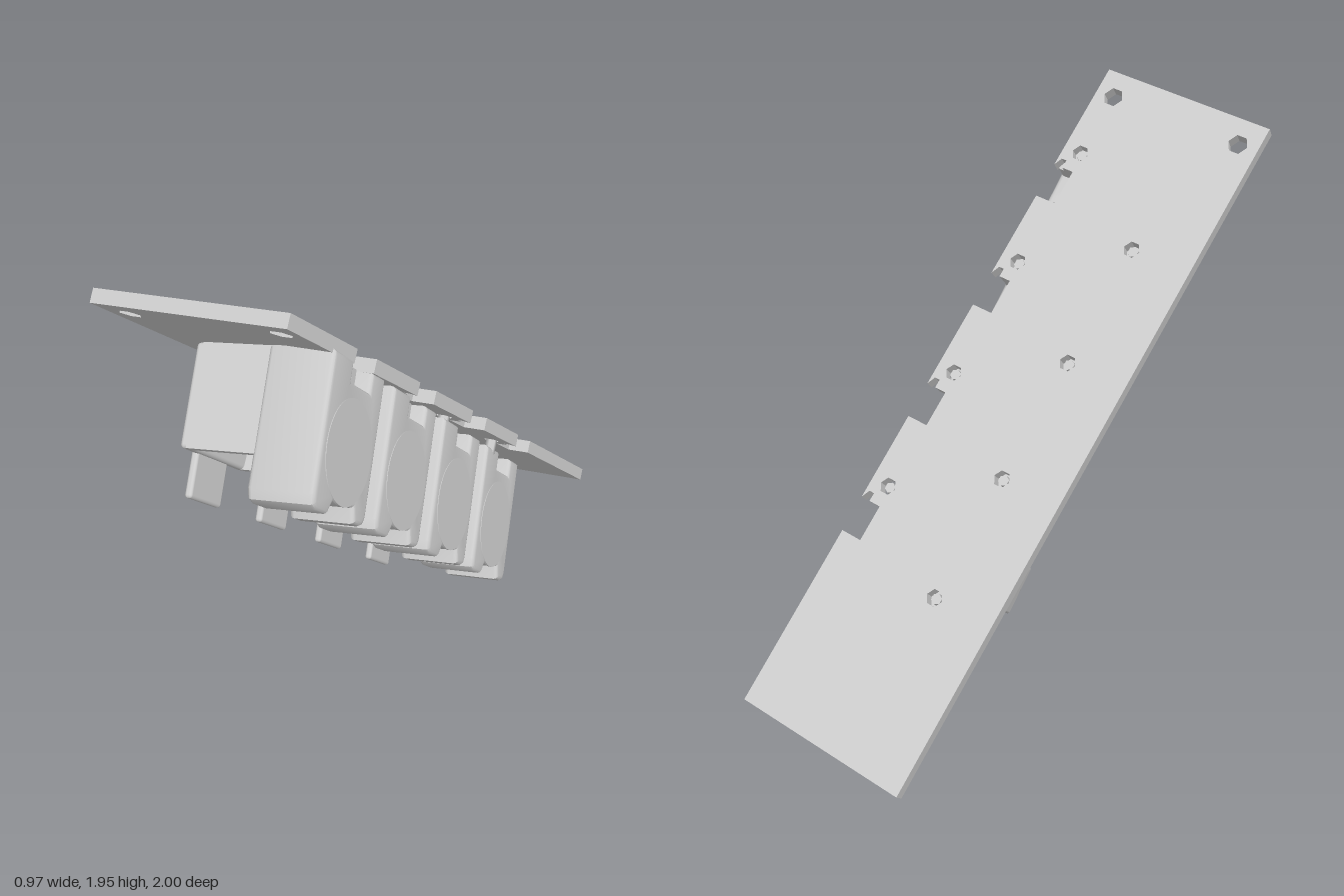
import * as THREE from 'three';
import { toCreasedNormals } from 'three/addons/utils/BufferGeometryUtils.js';
import { RoundedBoxGeometry } from 'three/addons/geometries/RoundedBoxGeometry.js';

const grey = new THREE.MeshStandardMaterial({ color: 0xcccccc });
const COUNT = 4, PITCH = 0.462;
const BORE = { r: 0.265, radius: 0.165 };

function add(parent, geometry, name, x = 0, y = 0, z = 0) {
  const mesh = new THREE.Mesh(geometry, grey);
  mesh.name = name;
  mesh.position.set(x, y, z);
  parent.add(mesh);
  return mesh;
}

// Extrudes a side profile of [depth, height] points across the width, x0 to x1
function sideExtrude(points, x0, x1, bevel) {
  const shape = new THREE.Shape(points.map(([r, q]) => new THREE.Vector2(-r, q)));
  const geometry = new THREE.ExtrudeGeometry(shape, {
    depth: x1 - x0 - 2 * bevel, bevelEnabled: bevel > 0, bevelThickness: bevel,
    bevelSize: bevel, bevelOffset: -bevel, bevelSegments: 3,
  });
  geometry.rotateY(Math.PI / 2).translate(x0 + bevel, 0, 0);
  return toCreasedNormals(geometry, 0.6);
}

// Flat mounting plate with edge notches and hexagonal holes
function makePlate() {
  const w = 0.663, h = 2.6, t = 0.045;
  const shape = new THREE.Shape();
  shape.moveTo(0, 0);
  shape.lineTo(w, 0);
  for (let i = 0; i < COUNT; i++) {
    const b = 0.666 + i * PITCH;
    shape.lineTo(w, b);
    shape.lineTo(w - 0.08, b);
    shape.lineTo(w - 0.08, b + 0.134);
    shape.lineTo(w - 0.035, b + 0.134);
    shape.lineTo(w - 0.035, b + 0.165);
    shape.lineTo(w - 0.015, b + 0.165);
    shape.lineTo(w, b + 0.134);
  }
  shape.lineTo(w, h);
  shape.lineTo(0, h);
  const hole = (x, y, r) => {
    const pts = [];
    for (let k = 0; k < 6; k++) {
      const t = (k * Math.PI) / 3;
      pts.push(new THREE.Vector2(x + r * Math.cos(t), y + r * Math.sin(t)));
    }
    shape.holes.push(new THREE.Path(pts));
  };
  for (let i = 0; i < COUNT; i++) {
    hole(0.231, 0.62 + i * PITCH, 0.031);
    hole(0.594, 0.876 + i * PITCH, 0.031);
  }
  hole(0.077, 2.506, 0.037);
  hole(0.592, 2.506, 0.037);
  return new THREE.ExtrudeGeometry(shape, { depth: t, bevelEnabled: false }).translate(0, 0, -t);
}

// One housing: open cradle on the left, deep closed block on the right
function makeModule() {
  const g = new THREE.Group();
  g.name = 'module';

  // cradle with a cylindrical bore that opens to the front
  const front = 0.32, open = Math.acos((front - BORE.r) / BORE.radius);
  const cradle = [[0.0, -0.185], [front, -0.185]];
  for (let k = 0; k <= 28; k++) {
    const t = -open - (k / 28) * (2 * Math.PI - 2 * open);
    cradle.push([BORE.r + BORE.radius * Math.cos(t), BORE.radius * Math.sin(t)]);
  }
  cradle.push([front, 0.185], [0.0, 0.185]);
  add(g, sideExtrude(cradle, -0.2, 0.04, 0), 'cradle');

  // left end wall with its forward tab
  add(g, new RoundedBoxGeometry(0.035, 0.37, 0.32, 2, 0.012), 'endWall', -0.205, 0, 0.16);
  add(g, new RoundedBoxGeometry(0.025, 0.19, 0.17, 2, 0.01), 'frontTab', -0.215, 0.01, 0.37);

  // right block: rounded corners, shallow recess at the front, clip window at the back
  const block = [
    [0, -0.19], [0.43, -0.19], [0.452, -0.18], [0.46, -0.16], [0.46, -0.11],
    [0.415, -0.09], [0.42, 0], [0.415, 0.05], [0.46, 0.08], [0.46, 0.15],
    [0.45, 0.178], [0.42, 0.19], [0, 0.19],
    [0, 0.05], [0.065, 0.05], [0.065, -0.09], [0, -0.09],
  ];
  add(g, sideExtrude(block, 0.02, 0.235, 0.016), 'sideBlock');

  // round cover on the side, retaining bar and clip
  const cover = new THREE.CylinderGeometry(0.16, 0.16, 0.008, 48).rotateZ(Math.PI / 2);
  add(g, cover, 'roundCover', 0.233, 0, BORE.r);
  add(g, new THREE.BoxGeometry(0.16, 0.02, 0.05), 'retainingBar', -0.02, -0.14, 0.325);
  add(g, new THREE.BoxGeometry(0.03, 0.03, 0.07), 'clip', 0.17, -0.06, 0.035);
  return g;
}

export function createModel() {
  const model = new THREE.Group();
  model.name = 'slantedModuleRack';

  const rack = new THREE.Group();
  rack.name = 'rack';
  rack.position.set(-0.175, 0, -0.968);
  rack.rotation.set(Math.PI / 4, 0, 0.168, 'ZYX');
  model.add(rack);

  add(rack, makePlate(), 'plate');

  // pegs seated in the plate holes
  const peg = new THREE.CylinderGeometry(0.02, 0.02, 0.08, 6).rotateX(Math.PI / 2);
  for (let i = 0; i < COUNT; i++) {
    add(rack, peg, 'peg', 0.231, 0.62 + i * PITCH, 0.015);
    add(rack, peg, 'peg', 0.594, 0.876 + i * PITCH, 0.015);
  }

  // row of modules, slightly askew on the plate
  const row = new THREE.Group();
  row.name = 'moduleRow';
  row.position.set(0.43, 2.15, 0.012);
  row.rotation.set(-0.026, 0.09, -0.043);
  rack.add(row);
  for (let i = 0; i < COUNT; i++) {
    const module = makeModule();
    module.position.y = -i * 0.463;
    row.add(module);
  }
  return model;
}
